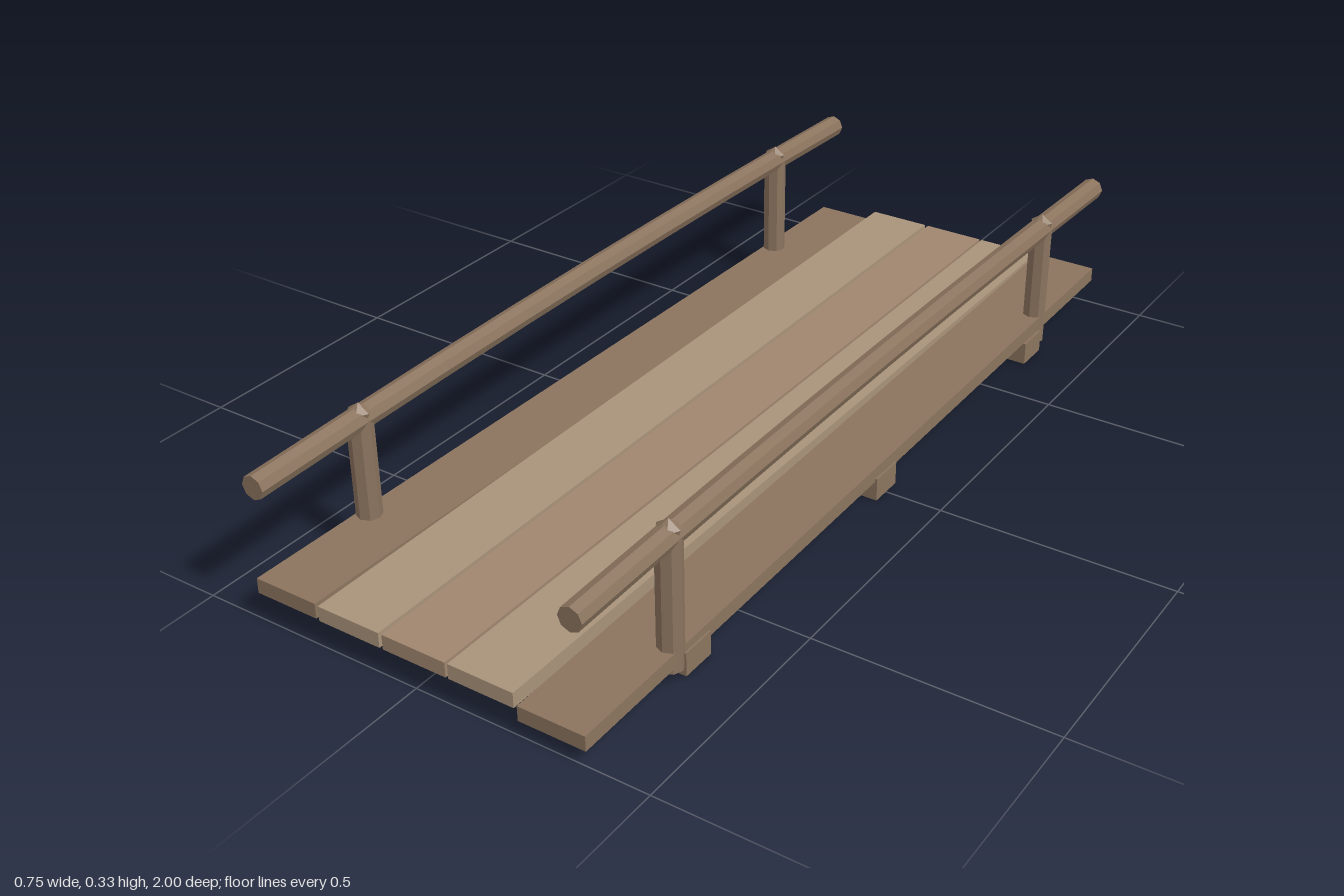
import * as THREE from 'three';

const wood = (color) => new THREE.MeshStandardMaterial({ color, flatShading: true });

export function createModel() {
  const model = new THREE.Group();
  const dark = wood(0x8b745e), light = wood(0xa9937a), mid = wood(0xa0866f);

  const add = (name, geometry, material, x, y, z) => {
    const mesh = new THREE.Mesh(geometry, material);
    mesh.name = name;
    mesh.position.set(x, y, z);
    model.add(mesh);
    return mesh;
  };

  // Cross beams under the deck
  for (const z of [-0.675, 0, 0.675]) {
    add('crossBeam', new THREE.BoxGeometry(0.75, 0.05, 0.078), dark, 0, 0.025, z);
  }

  // Deck planks; the outer two are warped in opposite directions
  const planks = [
    [-0.301, 0.0595, dark, -0.0132],
    [-0.151, 0.0705, light, 0],
    [0, 0.0705, mid, 0],
    [0.149, 0.0705, light, 0],
    [0.299, 0.0595, dark, 0.0132],
  ];
  for (const [x, y, material, tilt] of planks) {
    add('deckPlank', new THREE.BoxGeometry(0.143, 0.032, 2), material, x, y, 0).rotation.x = tilt;
  }

  for (const side of [-1, 1]) {
    const x = side * 0.35;

    // Handrail, bowed gently upward in the middle
    const rail = new THREE.CylinderGeometry(0.025, 0.025, 2, 8, 8).rotateX(Math.PI / 2);
    const p = rail.attributes.position;
    for (let i = 0; i < p.count; i++) {
      p.setY(i, p.getY(i) + 0.014 * (1 - p.getZ(i) ** 2));
    }
    rail.computeVertexNormals();
    add('handrail', rail, dark, x, 0.291, 0);

    // Posts with small pointed caps
    for (const z of [-0.725, 0.725]) {
      add('post', new THREE.CylinderGeometry(0.026, 0.026, 0.28, 8), dark, x, 0.16, z);
      const profile = [[0, 0.298], [0.022, 0.302], [0.025, 0.314], [0, 0.331]]
        .map(([r, y]) => new THREE.Vector2(r, y));
      add('postCap', new THREE.LatheGeometry(profile, 6).rotateY(Math.PI / 2), dark, x, 0, z);
    }
  }

  return model;
}
